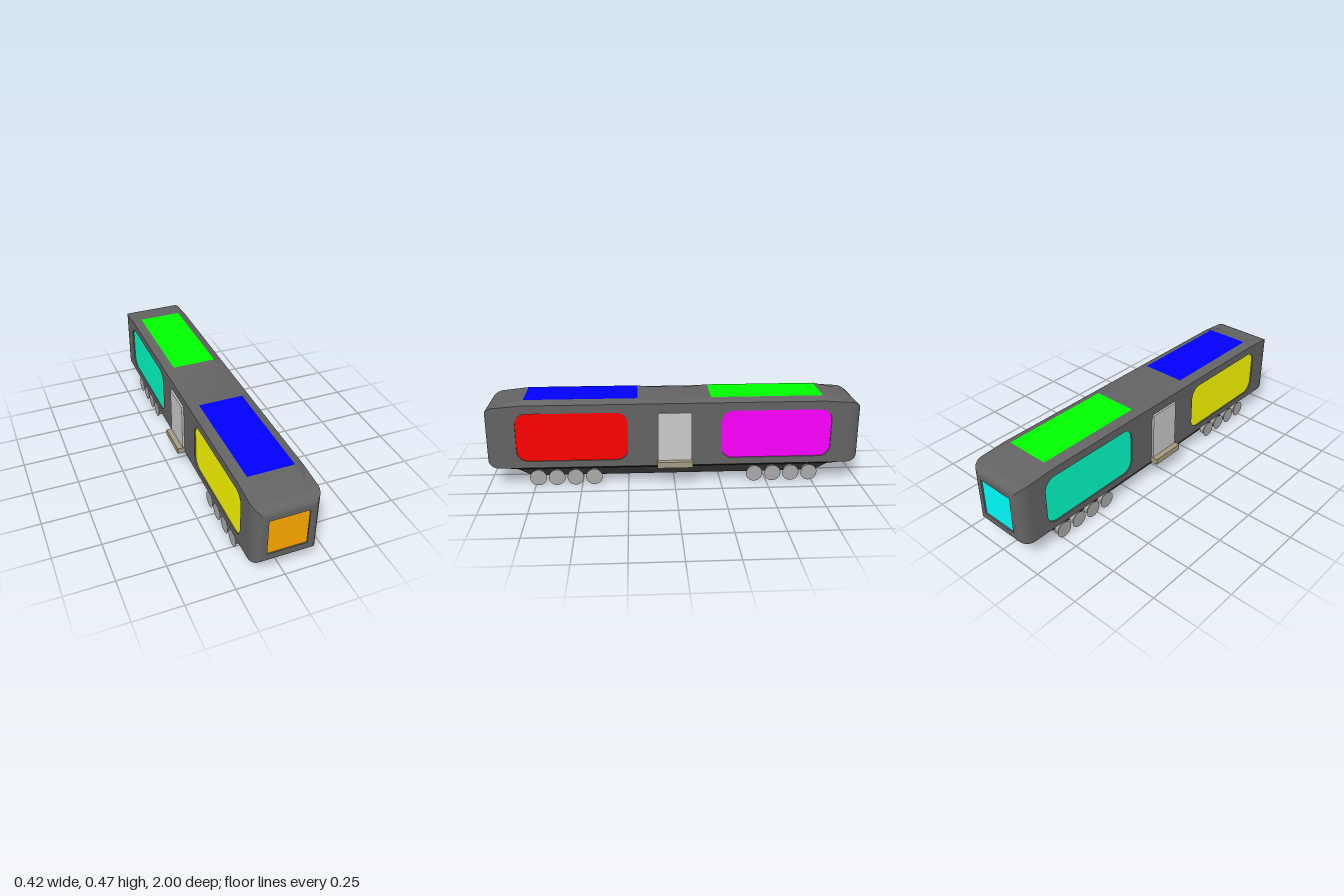
import * as THREE from 'three';
import { toCreasedNormals } from 'three/addons/utils/BufferGeometryUtils.js';

const W = 0.167, FLOOR = 0.107, RIDGE_X = 0.12, RECESS = 0.008;
const mat = (color) => new THREE.MeshStandardMaterial({ color });
const bodyMat = mat(0x646464), frameMat = mat(0x2c2c2c), doorMat = mat(0xcccccc);
const stepMat = mat(0xa89c80), wheelMat = mat(0xaaaaaa);

function add(parent, name, geometry, material, x = 0, y = 0, z = 0) {
  const mesh = new THREE.Mesh(geometry, material);
  mesh.name = name;
  mesh.position.set(x, y, z);
  parent.add(mesh);
  return mesh;
}

// Skin between successive rings of equal length; skip(i, j) leaves a strip open
function loft(rings, skip = () => false) {
  const pos = [];
  for (let i = 0; i < rings.length - 1; i++) {
    const n = rings[i].length;
    for (let j = 0; j < n; j++) {
      if (skip(i, j)) continue;
      const k = (j + 1) % n;
      const [a, b, c, d] = [rings[i][j], rings[i][k], rings[i + 1][k], rings[i + 1][j]];
      pos.push(...a, ...b, ...c, ...a, ...c, ...d);
    }
  }
  const g = new THREE.BufferGeometry();
  g.setAttribute('position', new THREE.Float32BufferAttribute(pos, 3));
  return toCreasedNormals(g, 0.33);
}

// Rounded rectangle centred on (cx, cy)
function roundRect(path, cx, cy, w, h, r) {
  const x = w / 2, y = h / 2;
  path.moveTo(cx - x + r, cy - y);
  path.lineTo(cx + x - r, cy - y);
  path.absarc(cx + x - r, cy - y + r, r, -Math.PI / 2, 0);
  path.absarc(cx + x - r, cy + y - r, r, 0, Math.PI / 2);
  path.absarc(cx - x + r, cy + y - r, r, Math.PI / 2, Math.PI);
  path.absarc(cx - x + r, cy - y + r, r, Math.PI, Math.PI * 1.5);
  return path;
}

const wall = (shape) =>
  new THREE.ExtrudeGeometry(shape, { depth: RECESS, bevelEnabled: false, curveSegments: 10 });

// Car shell: half-width, floor, eave and ridge heights along z
function shellGeometry() {
  const half = [[0.11, W, FLOOR, 0.455, 0.464], [0.19, W, FLOOR, 0.455, 0.472], [0.8, W, FLOOR, 0.455, 0.472]];
  for (let i = 0; i <= 8; i++) {
    const t = (i / 8) * Math.PI / 2, k = 1 - Math.cos(t);
    half.push([0.93 + 0.07 * Math.sin(t), W - 0.047 * k, FLOOR + 0.038 * k, 0.445 - 0.045 * k, 0.445 - 0.045 * k]);
  }
  const back = half.map(([z, ...s]) => [-z, ...s]).reverse();
  const stations = [...back, ...half];
  const rings = stations.map(([z, w, b, e, r]) => [
    [w, b, z], [w, e, z], [RIDGE_X, r, z], [-RIDGE_X, r, z], [-w, e, z], [-w, b, z],
  ]);
  const isMiddle = (i) => Math.abs(stations[i][0] + stations[i + 1][0]) / 2 < 0.93;
  return loft(rings, (i, j) => (j === 0 || j === 4) && isMiddle(i));
}

// Side wall with two recessed windows, a door and a step
function makeSide(colors) {
  const side = new THREE.Group();
  const shape = new THREE.Shape([
    [-0.93, FLOOR], [0.93, FLOOR], [0.93, 0.445], [0.8, 0.455], [-0.8, 0.455], [-0.93, 0.445],
  ].map(([u, v]) => new THREE.Vector2(u, v)));
  const face = W - RECESS;
  [-0.545, 0.545].forEach((u, i) => {
    shape.holes.push(roundRect(new THREE.Path(), u, 0.277, 0.59, 0.265, 0.06));
    const pane = roundRect(new THREE.Shape(), u, 0.277, 0.59, 0.265, 0.06);
    add(side, 'sideWindow', new THREE.ShapeGeometry(pane, 10), mat(colors[i]), 0, 0, face + 0.001);
  });
  add(side, 'sideWall', wall(shape), bodyMat, 0, 0, face);
  add(side, 'door', new THREE.BoxGeometry(0.18, 0.266, 0.022), doorMat, 0, 0.272, 0.167);
  add(side, 'step', new THREE.BoxGeometry(0.19, 0.033, 0.05), stepMat, 0, 0.1235, 0.183);
  return side;
}

// End wall with one recessed window
function makeEnd(color) {
  const end = new THREE.Group();
  const shape = roundRect(new THREE.Shape(), 0, 0.2725, 0.24, 0.255, 0.0001);
  shape.holes.push(roundRect(new THREE.Path(), 0, 0.274, 0.204, 0.204, 0.0001));
  add(end, 'endWall', wall(shape), bodyMat, 0, 0, 1 - RECESS);
  add(end, 'endWindow', new THREE.PlaneGeometry(0.204, 0.204), mat(color), 0, 0.274, 1 - RECESS + 0.001);
  return end;
}

export function createModel() {
  const car = new THREE.Group();
  car.name = 'railCar';
  add(car, 'shell', shellGeometry(), bodyMat);

  // Sides and ends
  const left = makeSide([0xff0000, 0xff00ff]);
  left.name = 'leftSide';
  left.rotation.y = Math.PI / 2;
  const right = makeSide([0x00ffc8, 0xffff00]);
  right.name = 'rightSide';
  right.rotation.y = -Math.PI / 2;
  const front = makeEnd(0xffaa00);
  front.name = 'frontEnd';
  const rear = makeEnd(0x00ffff);
  rear.name = 'rearEnd';
  rear.rotation.y = Math.PI;
  car.add(left, right, front, rear);

  // Roof panels
  for (const [z, color] of [[0.495, 0x0000ff], [-0.495, 0x00ff00]]) {
    const panel = add(car, 'roofPanel', new THREE.PlaneGeometry(0.24, 0.6), mat(color), 0, 0.473, z);
    panel.rotation.x = -Math.PI / 2;
  }

  // Underframe: stacked rectangles narrowing downwards
  const levels = [[W, FLOOR, 0.89], [0.122, 0.082, 0.84], [0.122, 0.045, 0.77], [0, 0.045, 0]];
  const frame = loft(levels.map(([x, y, z]) => [[x, y, z], [x, y, -z], [-x, y, -z], [-x, y, z]]).reverse());
  add(car, 'underframe', frame, frameMat);

  // Flanged wheels, four per bogie side
  const profile = [[0, 0.122], [0.034, 0.122], [0.034, 0.147], [0.0445, 0.157], [0, 0.157]]
    .map(([r, x]) => new THREE.Vector2(r, x));
  const wheelGeo = toCreasedNormals(new THREE.LatheGeometry(profile, 32), 0.5);
  for (const side of [1, -1])
    for (const end of [1, -1])
      for (let i = 0; i < 4; i++) {
        const wheel = add(car, 'wheel', wheelGeo, wheelMat, 0, 0.0455, end * (0.435 + i * 0.1));
        wheel.rotation.z = -side * Math.PI / 2;
      }
  return car;
}
